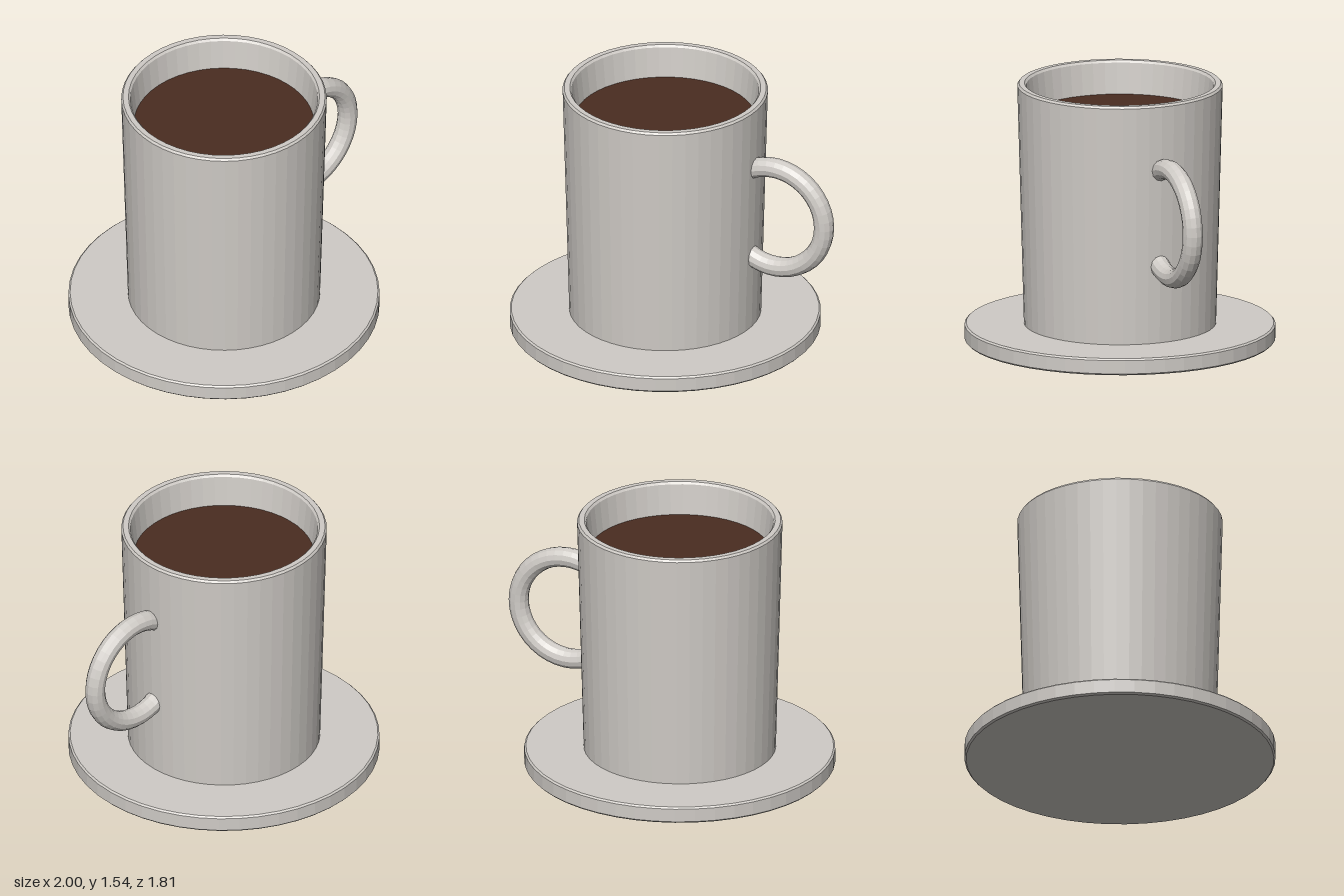
import * as THREE from 'three';

const SIDES = 48;

export function createModel() {
  const model = new THREE.Group();
  model.name = 'coffeeCup';

  const ceramic = new THREE.MeshStandardMaterial({ color: 0xcfcbc6, flatShading: true });
  ceramic.name = 'warm grey ceramic';
  const brew = new THREE.MeshStandardMaterial({ color: 0x4a2c20 });
  brew.name = 'dark coffee';

  // The cup and saucer share one axis, offset to make room for the handle.
  const axisX = -0.093;

  function add(name, geometry, material, x, y) {
    const mesh = new THREE.Mesh(geometry, material);
    mesh.name = name;
    mesh.position.set(x, y, 0);
    model.add(mesh);
    return mesh;
  }

  const turned = (profile) =>
    new THREE.LatheGeometry(profile.map(([r, y]) => new THREE.Vector2(r, y)), SIDES);

  // Flat saucer with softened edges
  add('saucer', turned([
    [0, 0], [0.897, 0], [0.907, 0.01], [0.907, 0.09], [0.897, 0.1], [0, 0.1],
  ]), ceramic, axisX, 0);

  // Tapered cup: outer wall, rounded rim, inner wall and floor
  add('cup', turned([
    [0, 0.09], [0.56, 0.09], [0.599, 1.523], [0.589, 1.536],
    [0.557, 1.536], [0.546, 1.523], [0.524, 1.32], [0.5, 0.17], [0, 0.17],
  ]), ceramic, axisX, 0);

  // Coffee surface
  const coffee = add('coffee', new THREE.CircleGeometry(0.525, SIDES), brew, axisX, 1.34);
  coffee.rotation.x = -Math.PI / 2;

  // Ring handle, its ends buried in the cup wall
  const reach = THREE.MathUtils.degToRad(122);
  const handle = add('handle', new THREE.TorusGeometry(0.32, 0.059, 12, 28, reach * 2), ceramic, 0.617, 0.848);
  handle.rotation.z = -reach;

  return model;
}
